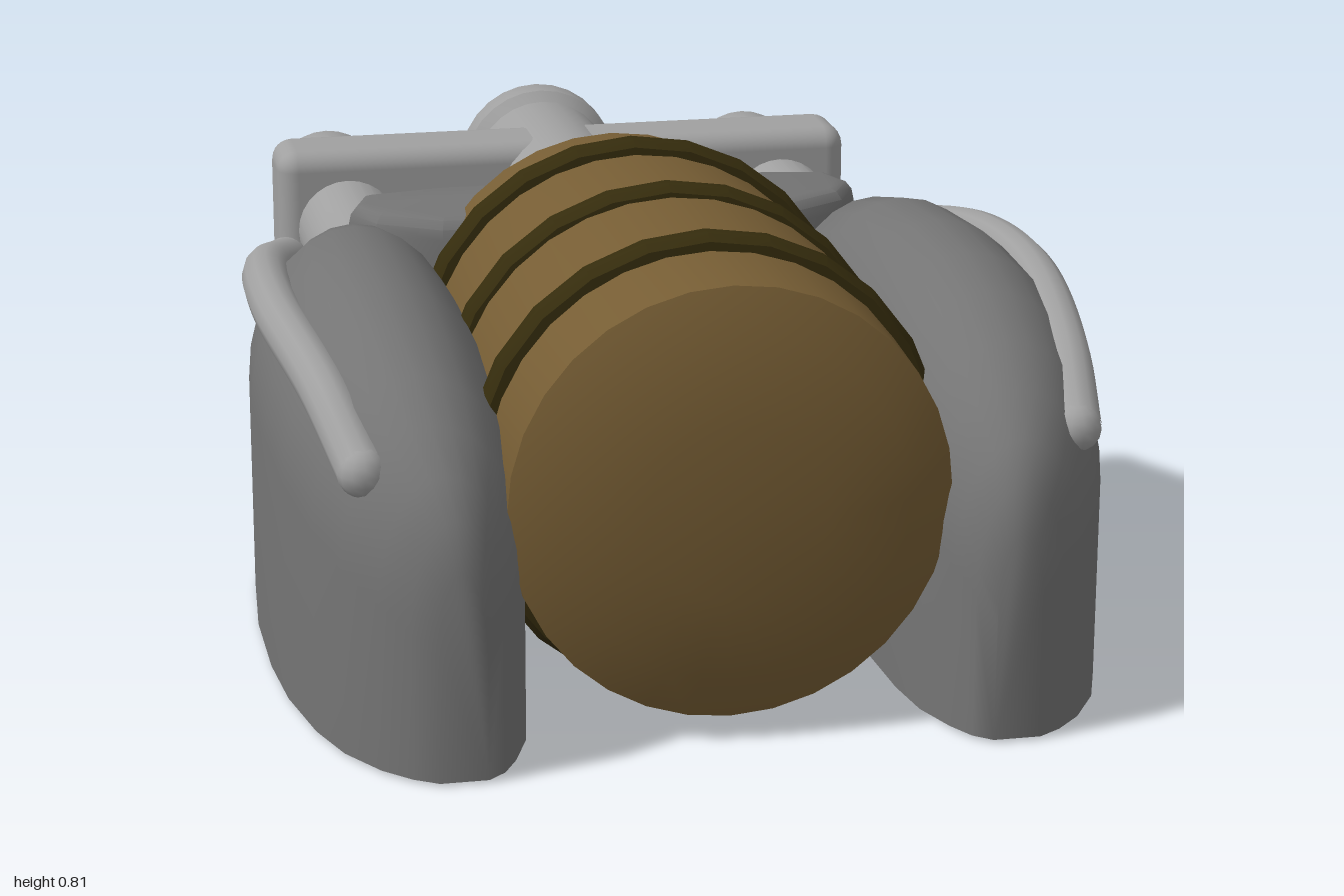
import * as THREE from 'three';
import { toCreasedNormals } from 'three/addons/utils/BufferGeometryUtils.js';
import { RoundedBoxGeometry } from 'three/addons/geometries/RoundedBoxGeometry.js';

function material(name, color) {
  const m = new THREE.MeshStandardMaterial({ color });
  m.name = name;
  return m;
}

// Lathe around the z axis from [radius, z] pairs, listed from back to front
function latheZ(profile, segments) {
  const points = profile.map(([r, z]) => new THREE.Vector2(r, z));
  return toCreasedNormals(new THREE.LatheGeometry(points, segments).rotateX(Math.PI / 2), 0.6);
}

// Fender stations: z, inner x, outer x, top height
const FENDER = [
  [-0.34, 0.33, 0.50, 0.34], [-0.32, 0.315, 0.55, 0.40], [-0.27, 0.31, 0.60, 0.47],
  [-0.20, 0.31, 0.635, 0.55], [-0.10, 0.31, 0.67, 0.635], [0.05, 0.31, 0.70, 0.672],
  [0.25, 0.31, 0.715, 0.685], [0.45, 0.31, 0.713, 0.68], [0.60, 0.312, 0.70, 0.655],
  [0.75, 0.32, 0.67, 0.612], [0.85, 0.335, 0.635, 0.56], [0.93, 0.365, 0.585, 0.50],
  [0.975, 0.39, 0.54, 0.44], [1.0, 0.42, 0.50, 0.36],
];

// Loft of arch-topped cross-sections; side is 1 or -1
function fenderGeometry(side) {
  const arc = 14, n = arc + 3, base = 0.005;
  const pos = [], index = [];
  for (const [z, xi, xo, top] of FENDER) {
    const c = (xi + xo) / 2, w = (xo - xi) / 2;
    const h = Math.min(0.27, top * 0.42);
    pos.push(side * xi, base, z);
    for (let k = 0; k <= arc; k++) {
      const a = Math.PI * (1 - k / arc);
      pos.push(side * (c + w * Math.cos(a)), top - h + h * Math.sin(a), z);
    }
    pos.push(side * xo, base, z);
  }
  const tri = (a, b, c) => (side > 0 ? index.push(a, b, c) : index.push(a, c, b));
  const last = (FENDER.length - 1) * n;
  for (let i = 0; i < last; i += n) {
    for (let j = 0; j < n; j++) {
      const k = (j + 1) % n;
      tri(i + j, i + n + j, i + k);
      tri(i + k, i + n + j, i + n + k);
    }
  }
  for (let j = 1; j < n - 1; j++) {
    tri(0, j, j + 1);
    tri(last, last + j + 1, last + j);
  }
  const g = new THREE.BufferGeometry();
  g.setAttribute('position', new THREE.Float32BufferAttribute(pos, 3));
  g.setIndex(index);
  return toCreasedNormals(g, 0.75);
}

export function createModel() {
  const model = new THREE.Group();
  model.name = 'engineUnit';
  const darkGrey = material('dark grey', 0x747474);
  const lightGrey = material('light grey', 0xa0a0a0);
  const brown = material('brown', 0x765d34);
  const darkBrown = material('dark brown', 0x352c0d);
  const orange = material('orange', 0xcc6b20);

  const add = (name, geometry, mat, x = 0, y = 0, z = 0, parent = model) => {
    const mesh = new THREE.Mesh(geometry, mat);
    mesh.name = name;
    mesh.position.set(x, y, z);
    parent.add(mesh);
    return mesh;
  };

  // Barrel with domed ends
  add('barrel', latheZ([
    [0, -0.27], [0.15, -0.26], [0.25, -0.235], [0.31, -0.2], [0.362, -0.15],
    [0.378, 0.05], [0.384, 0.365], [0.378, 0.68], [0.37, 0.89],
    [0.29, 0.925], [0.15, 0.945], [0, 0.95],
  ], 32), brown, 0, 0.407, 0);

  // Hoops around the barrel
  const hoop = latheZ([
    [0.36, -0.032], [0.394, -0.03], [0.405, -0.014], [0.405, 0.014], [0.394, 0.03], [0.36, 0.032],
  ], 24);
  for (const z of [0.05, 0.365, 0.68]) add('barrelHoop', hoop, darkBrown, 0, 0.405, z);

  // Fenders and the rails on their outer shoulders
  for (const side of [1, -1]) {
    const name = side > 0 ? 'left' : 'right';
    add(name + 'Fender', fenderGeometry(side), darkGrey);
    const rail = new THREE.Group();
    rail.name = name + 'Rail';
    model.add(rail);
    const points = [
      [0.605, 0.55, -0.18], [0.658, 0.585, 0.0], [0.672, 0.6, 0.3],
      [0.63, 0.56, 0.65], [0.595, 0.485, 0.84],
    ].map(([x, y, z]) => new THREE.Vector3(side * x, y, z));
    const path = new THREE.CatmullRomCurve3(points);
    add('railTube', new THREE.TubeGeometry(path, 28, 0.042, 12), lightGrey, 0, 0, 0, rail);
    for (const p of [points[0], points[4]]) {
      add('railEnd', new THREE.SphereGeometry(0.042, 12, 8), lightGrey, p.x, p.y, p.z, rail);
    }
  }

  // Bracket joining the fenders behind the barrel (shape y becomes world z)
  const outline = [[0.29, -0.30], [0.43, -0.275], [0.45, -0.22], [0.42, -0.16], [0.32, -0.10]];
  const corners = [...outline, ...outline.map(([x, z]) => [-x, z]).reverse()];
  const shape = new THREE.Shape(corners.map(([x, z]) => new THREE.Vector2(x, -z)));
  const bracket = new THREE.ExtrudeGeometry(shape, {
    depth: 0.2, bevelEnabled: true, bevelSize: 0.03, bevelThickness: 0.04, bevelSegments: 3,
  }).rotateX(-Math.PI / 2);
  add('rearBracket', toCreasedNormals(bracket, 0.6), darkGrey, 0, 0.40, 0);

  // Exhaust pipes with flanged ends and glowing tips
  const pipe = (name, x, y, r, flange, tip) => {
    const group = new THREE.Group();
    group.name = name;
    group.position.set(x, y, 0);
    model.add(group);
    add('pipe', latheZ([
      [0, -0.99], [flange * 0.95, -0.99], [flange, -0.978], [flange, -0.92],
      [r, -0.9], [r, -0.2], [0, -0.2],
    ], 28), lightGrey, 0, 0, 0, group);
    const glow = add('pipeTip', new THREE.SphereGeometry(tip, 18, 12), orange, 0, 0, -0.985, group);
    glow.scale.z = 0.015 / tip;
  };
  pipe('centrePipe', 0, 0.51, 0.138, 0.157, 0.055);
  pipe('leftPipe', 0.435, 0.478, 0.098, 0.111, 0.04);
  pipe('rightPipe', -0.435, 0.478, 0.098, 0.111, 0.04);

  // Cross bar tying the pipes together
  add('crossBar', new RoundedBoxGeometry(1.14, 0.275, 0.16, 3, 0.04), lightGrey, 0, 0.497, -0.703);

  return model;
}
